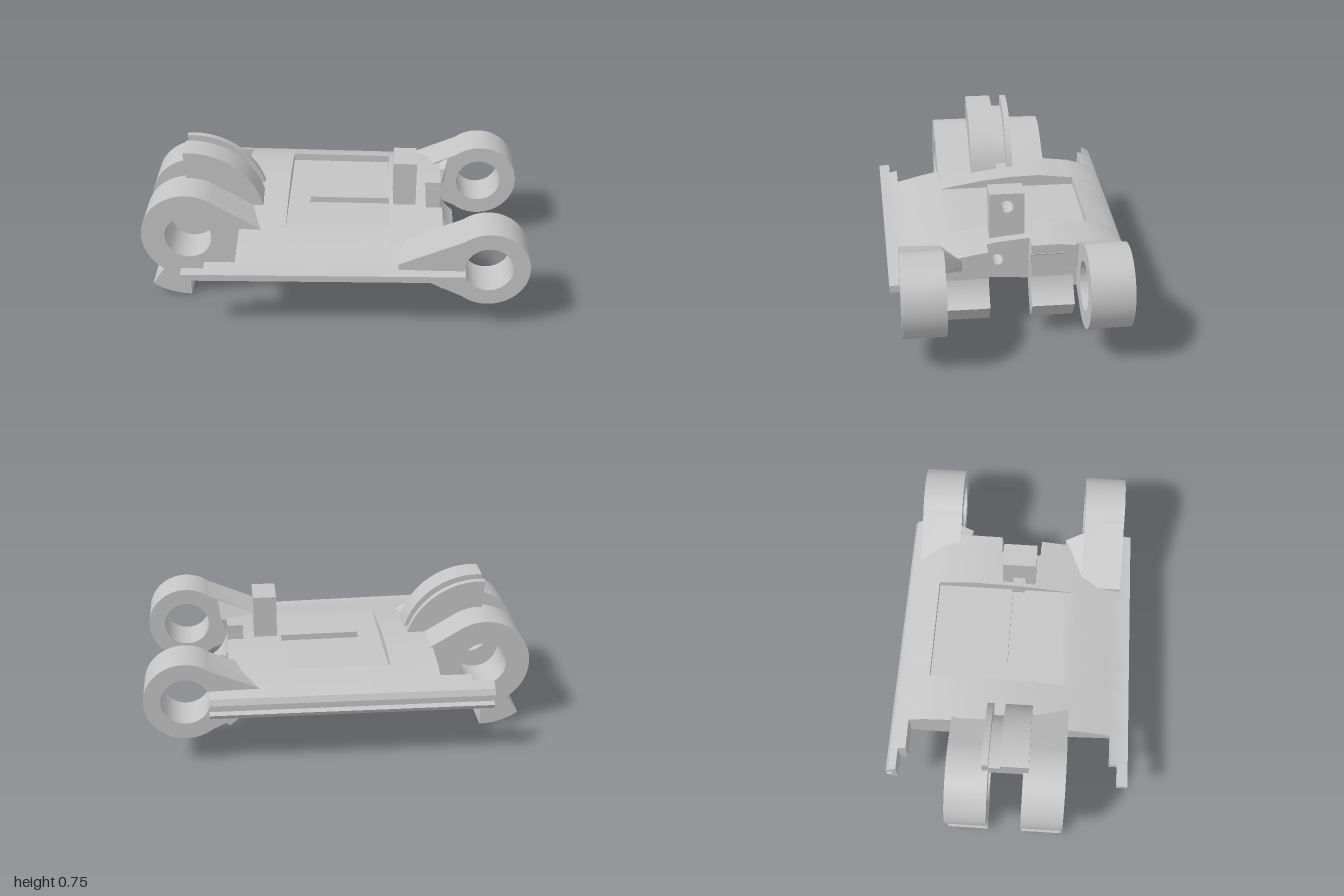
import * as THREE from 'three';
import { toCreasedNormals } from 'three/addons/utils/BufferGeometryUtils.js';
import { ConvexGeometry } from 'three/addons/geometries/ConvexGeometry.js';

const steel = new THREE.MeshStandardMaterial({ color: 0xc4c4c4 });
steel.name = 'steel grey';

// Pin axes at each end of the link
const PIN_Y = 0.363, LEFT_X = -0.755, RIGHT_X = 0.792;
const rad = THREE.MathUtils.degToRad;

// Plate cross-section: [z, y] along the top and the underside
const TOP = [[-0.615, 0.36], [-0.6, 0.39], [-0.55, 0.425], [-0.435, 0.458], [-0.25, 0.48], [-0.1, 0.477],
  [0.05, 0.462], [0.24, 0.43], [0.4, 0.395], [0.56, 0.352], [0.615, 0.35]];
const BOTTOM = [[-0.615, 0.305], [-0.6, 0.28], [-0.55, 0.258], [-0.4, 0.243], [-0.2, 0.243],
  [0.1, 0.265], [0.3, 0.288], [0.5, 0.31], [0.615, 0.315]];

function lookUp(table, z) {
  for (let i = 1; i < table.length; i++) {
    const [a, b] = [table[i - 1], table[i]];
    if (z <= b[0]) return a[1] + (b[1] - a[1]) * (z - a[0]) / (b[0] - a[0]);
  }
  return table[table.length - 1][1];
}

function circleHole(u, v, r) {
  const hole = new THREE.Path();
  hole.absarc(u, v, r, 0, Math.PI * 2, true);
  return hole;
}

function addMesh(group, name, geometry) {
  const mesh = new THREE.Mesh(toCreasedNormals(geometry, 0.45), steel);
  mesh.name = name;
  group.add(mesh);
}

// Shape drawn in (x, y), extruded between two z values
function extrudeZ(shape, z0, z1) {
  return new THREE.ExtrudeGeometry(shape, { depth: z1 - z0, bevelEnabled: false, curveSegments: 48 }).translate(0, 0, z0);
}

// Shape drawn in (-z, y), extruded between two x values
function extrudeX(shape, x0, x1) {
  return new THREE.ExtrudeGeometry(shape, { depth: x1 - x0, bevelEnabled: false, curveSegments: 24 })
    .translate(0, 0, x0).rotateY(Math.PI / 2);
}

// Ring segment around a pin axis, angles in degrees
function sector(cx, r0, r1, a0, a1) {
  const s = new THREE.Shape();
  s.absarc(cx, PIN_Y, r1, rad(a0), rad(a1), false);
  s.absarc(cx, PIN_Y, r0, rad(a1), rad(a0), true);
  s.closePath();
  return s;
}

// Ring with a tapering tail that runs into the plate
function eyelet(cx, r, a0, a1, tail) {
  const s = new THREE.Shape();
  s.absarc(cx, PIN_Y, r, rad(a0), rad(a1), false);
  tail.forEach(([x, y]) => s.lineTo(x, y));
  s.closePath();
  s.holes.push(circleHole(cx, PIN_Y, 0.122));
  return s;
}

// Slice of the plate between z0 and z1; cuts are [from, to, floor] recesses
function plateSlice(x0, x1, z0, z1, cuts = []) {
  const zs = [z0, z1];
  const e = 1e-4;
  TOP.concat(BOTTOM).forEach(([z]) => zs.push(z));
  cuts.forEach(([a, b]) => zs.push(a - e, a + e, b - e, b + e));
  const list = [...new Set(zs)].filter((z) => z >= z0 && z <= z1).sort((a, b) => a - b);
  const topAt = (z) => cuts.reduce((y, [a, b, floor]) => (z > a && z < b ? Math.min(y, floor) : y), lookUp(TOP, z));
  const points = list.map((z) => new THREE.Vector2(-z, topAt(z)));
  list.reverse().forEach((z) => points.push(new THREE.Vector2(-z, lookUp(BOTTOM, z))));
  // Groove along the rounded back edge
  if (z0 < -0.6) points.push(new THREE.Vector2(0.585, 0.312), new THREE.Vector2(0.585, 0.345));
  const shape = new THREE.Shape(points);
  // Lengthwise bore
  if (z0 < 0 && z1 > 0.1) shape.holes.push(circleHole(-0.055, PIN_Y, 0.03));
  const geometry = extrudeX(shape, x0, x1);
  // The plate narrows slightly towards +x
  const p = geometry.attributes.position;
  for (let i = 0; i < p.count; i++) p.setZ(i, p.getZ(i) * (1 - 0.034 * p.getX(i)));
  return geometry;
}

export function createModel() {
  const model = new THREE.Group();
  model.name = 'trackLink';

  // Curved plate with a shallow pocket and a narrow slot
  const W = 0.615;
  const pocket = [-0.435, 0.305, 0.418], slot = [-0.035, 0.033, 0.385];
  addMesh(model, 'plateLeft', plateSlice(-0.485, -0.245, -W, W));
  addMesh(model, 'platePocket', plateSlice(-0.245, -0.13, -W, W, [pocket]));
  addMesh(model, 'plateSlot', plateSlice(-0.13, 0.29, -W, W, [pocket, slot]));
  addMesh(model, 'plateRight', plateSlice(0.29, 0.485, -W, W));

  // Stepped plate ends and edge rails: [x0, x1, inner |z|]
  for (const [x0, x1, inner] of [[0.485, 0.57, 0.11], [0.57, 0.675, 0.54], [-0.64, -0.485, 0.52], [-0.75, -0.64, 0.56]]) {
    addMesh(model, 'frontRail', plateSlice(x0, x1, inner, W));
    addMesh(model, 'backRail', plateSlice(x0, x1, -W, -inner));
  }

  // Paired parts, front and back
  const knuckle = eyelet(LEFT_X, 0.245, 60, 295, [[-0.42, 0.24], [-0.375, 0.3], [-0.375, 0.42]]);
  const eye = eyelet(RIGHT_X, 0.207, -128, 128, [[0.34, 0.385], [0.34, 0.352]]);
  const pair = (name, shape, z0, z1) => {
    addMesh(model, name + 'Front', extrudeZ(shape, z0, z1));
    addMesh(model, name + 'Back', extrudeZ(shape, -z1, -z0));
  };
  pair('knuckle', knuckle, 0.088, 0.303);
  pair('knuckleFoot', sector(LEFT_X, 0.2, 0.362, 235.7, 270), 0.09, 0.303);
  pair('eye', eye, 0.337, 0.55);

  // Curved feet below the eye end, level with the plate on top
  addMesh(model, 'eyeFootFront', extrudeZ(sector(RIGHT_X, 0.23, 0.355, 173, 233), 0.105, 0.32));
  addMesh(model, 'eyeFootBack', extrudeZ(sector(RIGHT_X, 0.23, 0.355, 163, 233), -0.32, -0.105));

  // Flares blending the eye tails into the plate: [side, tail x, foot y, foot z]
  for (const [side, x, y, z] of [[1, 0.36, 0.425, 0.24], [-1, 0.45, 0.475, 0.27]]) {
    const corners = [[0.615, 0.503, 0.34], [0.6, y, z], [x, 0.395, 0.34], [0.6, 0.36, 0.34], [0.58, 0.36, z]];
    addMesh(model, 'eyeFlare', new ConvexGeometry(corners.map(([a, b, c]) => new THREE.Vector3(a, b, c * side))));
  }

  // Guide horn: a thick and a thin quarter disc joined by a lower web
  addMesh(model, 'hornThick', extrudeZ(sector(LEFT_X, 0.2, 0.392, 9, 94.5), -0.025, 0.115));
  addMesh(model, 'hornThin', extrudeZ(sector(LEFT_X, 0.2, 0.392, 9, 94.5), -0.118, -0.085));
  addMesh(model, 'hornWeb', extrudeZ(sector(LEFT_X, 0.2, 0.33, 9, 94.5), -0.086, -0.024));
  addMesh(model, 'hornHeel', extrudeZ(sector(LEFT_X, 0.26, 0.39, -25, -6), -0.025, 0.115));
  addMesh(model, 'hornHeelWeb', extrudeZ(sector(LEFT_X, 0.26, 0.36, -24, -6), -0.1, -0.025));

  // Drilled post, with a groove below the hole on its inner face
  const drilled = new THREE.Shape();
  drilled.moveTo(-0.088, 0.41).lineTo(0.088, 0.41).lineTo(0.088, 0.7).lineTo(-0.088, 0.7).closePath();
  drilled.holes.push(circleHole(0, 0.63, 0.033));
  addMesh(model, 'post', extrudeX(drilled, 0.34, 0.43));
  const grooved = new THREE.Shape();
  grooved.moveTo(0.033, 0.41).lineTo(0.088, 0.41).lineTo(0.088, 0.7).lineTo(-0.088, 0.7).lineTo(-0.088, 0.41).lineTo(-0.033, 0.41);
  grooved.absarc(0, 0.63, 0.033, Math.PI, 0, true);
  grooved.closePath();
  addMesh(model, 'postGroove', extrudeX(grooved, 0.31, 0.34));

  return model;
}
